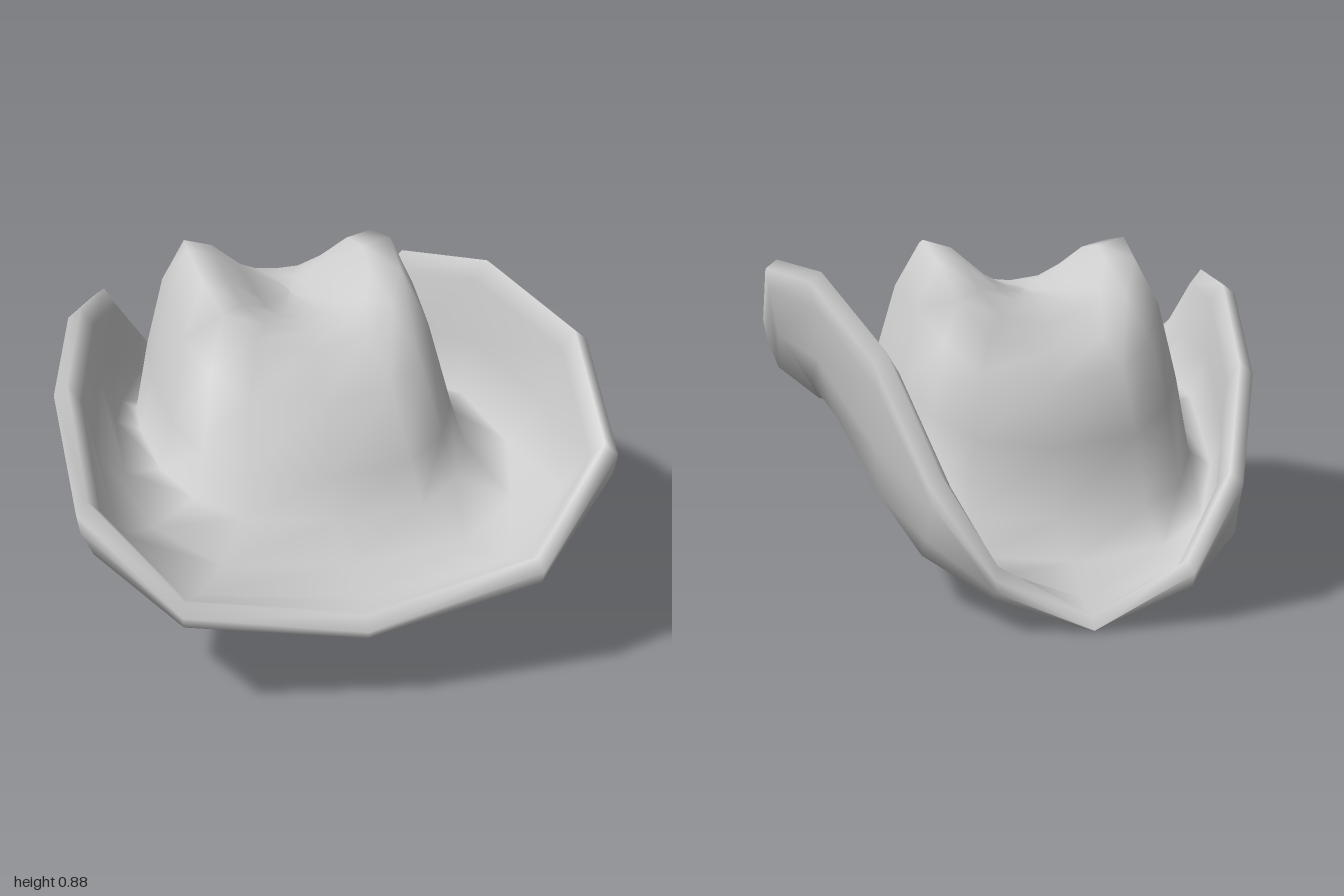
import * as THREE from 'three';

const N = 16;
const lerp = THREE.MathUtils.lerp;

// Brim edge, from the front centre round by the left side: x, y, z
const RIM = [
  [0.02, 0.22, 1], [0.48, 0.32, 0.955], [0.70, 0.57, 0.825], [0.705, 0.765, 0.51],
  [0.61, 0.78, -0.03], [0.49, 0.63, -0.58], [0.39, 0.37, -0.88], [0.24, 0.15, -0.98],
  [0, 0.02, -1], [-0.26, 0.14, -0.96], [-0.41, 0.34, -0.86], [-0.52, 0.57, -0.56],
  [-0.63, 0.72, 0], [-0.705, 0.71, 0.52], [-0.68, 0.52, 0.83], [-0.44, 0.29, 0.975],
];

// Crown rings from the dent outwards: half width, front z, back z, y at sides, front, back
const CROWN = [
  [0, -0.03, -0.03, 0.735, 0.735, 0.735],
  [0.05, 0.10, -0.16, 0.742, 0.735, 0.733],
  [0.12, 0.19, -0.26, 0.78, 0.735, 0.72],
  [0.21, 0.27, -0.33, 0.855, 0.725, 0.67],
  [0.29, 0.34, -0.39, 0.878, 0.70, 0.60],
  [0.355, 0.48, -0.48, 0.74, 0.60, 0.53],
  [0.405, 0.61, -0.54, 0.53, 0.45, 0.37],
];

// Height of the brim's lowest line along z: z, y
const FLOOR = [[-1, 0.05], [-0.8, 0.085], [-0.6, 0.155], [-0.3, 0.27], [0, 0.35], [0.43, 0.385], [0.6, 0.36], [0.74, 0.295], [1, 0.235]];

function floorY(z) {
  const i = Math.max(1, FLOOR.findIndex((p) => p[0] >= z));
  const [z0, y0] = FLOOR[i - 1], [z1, y1] = FLOOR[i];
  return lerp(y0, y1, (z - z0) / (z1 - z0));
}

// Point k on a rounded-rectangular ring
function ringPoint(k, halfW, front, back) {
  const a = (k / N) * Math.PI * 2;
  const soft = (v) => Math.sign(v) * Math.pow(Math.abs(v), 0.65);
  const mid = (front + back) / 2;
  return [halfW * soft(Math.sin(a)), mid + ((front - back) / 2) * soft(Math.cos(a))];
}

const ring = (fn) => Array.from({ length: N }, (_, k) => fn(k));

function crownRing([halfW, front, back, ySide, yFront, yBack], inset, drop) {
  return ring((k) => {
    const a = (k / N) * Math.PI * 2;
    const [x, z] = ringPoint(k, halfW * inset, front * inset, back * inset);
    const yEnd = Math.cos(a) > 0 ? yFront : yBack;
    return [x, lerp(yEnd, ySide, Math.sin(a) ** 2) - drop, z];
  });
}

// t: fraction of the way from crown to edge, p: share of the edge's height,
// dy: lift, out: shift square to the brim's outline
function brimRing(t, p, dy, out) {
  return ring((k) => {
    const [bx, bz] = ringPoint(k, 0.445, 0.67, -0.57);
    const [rx, ry, rz] = RIM[k];
    const prev = RIM[(k + N - 1) % N], next = RIM[(k + 1) % N];
    const tx = next[0] - prev[0], tz = next[2] - prev[2];
    const len = Math.hypot(tx, tz);
    const x = lerp(bx, rx, t) - (tz / len) * out;
    const z = lerp(bz, rz, t) + (tx / len) * out;
    return [x, Math.max(0, lerp(floorY(z), ry, p) + dy), z];
  });
}

export function createModel() {
  // One continuous skin: crown top, brim top, rolled edge, brim underside, crown lining
  const rings = [
    ...CROWN.map((c) => crownRing(c, 1, 0)),
    brimRing(0, 0, 0.02, 0),
    brimRing(0.36, 0.1, 0.005, 0),
    brimRing(0.75, 0.47, 0, -0.03),
    brimRing(1, 0.9, 0, -0.07),
    brimRing(1, 1, 0.012, -0.035),
    brimRing(1, 1, -0.015, 0),
    brimRing(1, 0.9, -0.04, -0.01),
    brimRing(0.86, 0.54, -0.035, 0.005),
    brimRing(0.5, 0.15, -0.04, 0.01),
    brimRing(0.1, 0, -0.045, 0),
    brimRing(0, 0, -0.01, -0.03),
    ...CROWN.map((c) => crownRing(c, 0.94, 0.03)).reverse(),
  ];

  const geometry = new THREE.BufferGeometry();
  geometry.setAttribute('position', new THREE.Float32BufferAttribute(rings.flat(2), 3));

  const strip = (from, to) => {
    const index = [];
    for (let i = from; i < to; i++) {
      for (let k = 0; k < N; k++) {
        const a = i * N + k, b = i * N + ((k + 1) % N);
        index.push(a, a + N, b, b, a + N, b + N);
      }
    }
    return index;
  };

  // Normals come from the whole skin, so the parts join smoothly
  const last = rings.length - 1;
  geometry.setIndex(strip(0, last));
  geometry.computeVertexNormals();

  const material = new THREE.MeshStandardMaterial({ color: 0xcccccc, side: THREE.DoubleSide });
  const group = new THREE.Group();
  group.name = 'hat';
  const base = CROWN.length;
  const parts = { crown: [0, base], brim: [base, last - base], crownLining: [last - base, last] };
  for (const [name, [from, to]] of Object.entries(parts)) {
    const part = geometry.clone();
    part.setIndex(strip(from, to));
    const mesh = new THREE.Mesh(part, material);
    mesh.name = name;
    group.add(mesh);
  }
  return group;
}
